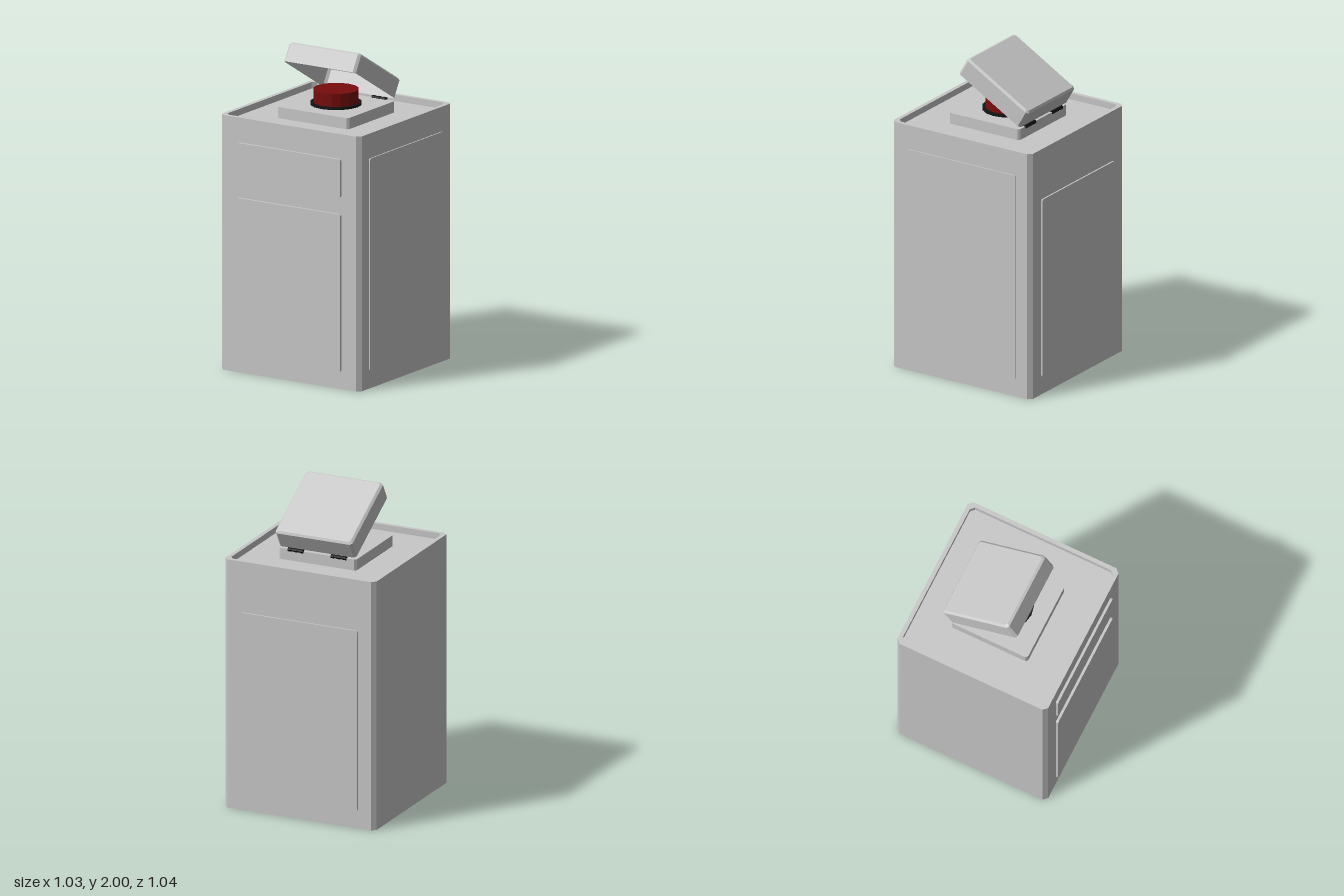
import * as THREE from 'three';

const grey = new THREE.MeshStandardMaterial({ color: 0xc8c8c8, flatShading: true, side: THREE.DoubleSide });
grey.name = 'light grey';
const red = new THREE.MeshStandardMaterial({ color: 0x780c0c, flatShading: true });
red.name = 'dark red';
const black = new THREE.MeshStandardMaterial({ color: 0x141414, flatShading: true });
black.name = 'black';

// Rectangle with cut corners at height y, counter-clockwise seen from above
function ring(hx, hz, cut, y) {
  return [
    [hx, hz - cut], [hx, -hz + cut], [hx - cut, -hz], [-hx + cut, -hz],
    [-hx, -hz + cut], [-hx, hz - cut], [-hx + cut, hz], [hx - cut, hz],
  ].map(([x, z]) => [x, y, z]);
}

// Skin a list of rings, with optional end caps
function skin(rings, capBottom, capTop) {
  const pos = [];
  const tri = (a, b, c) => pos.push(...a, ...b, ...c);
  for (let r = 0; r < rings.length - 1; r++) {
    const a = rings[r], b = rings[r + 1];
    for (let i = 0; i < a.length; i++) {
      const j = (i + 1) % a.length;
      tri(a[i], a[j], b[j]);
      tri(a[i], b[j], b[i]);
    }
  }
  const first = rings[0], last = rings[rings.length - 1];
  for (let i = 1; i < first.length - 1; i++) {
    if (capBottom) tri(first[0], first[i + 1], first[i]);
    if (capTop) tri(last[0], last[i], last[i + 1]);
  }
  const geo = new THREE.BufferGeometry();
  geo.setAttribute('position', new THREE.Float32BufferAttribute(pos, 3));
  geo.computeVertexNormals();
  return geo;
}

// Plate with rounded corners, centred in x and y, facing +z from z = 0
function plate(w, h, depth, r = 0.016) {
  const x = w / 2, y = h / 2;
  const s = new THREE.Shape();
  s.moveTo(-x + r, -y);
  s.lineTo(x - r, -y).quadraticCurveTo(x, -y, x, -y + r);
  s.lineTo(x, y - r).quadraticCurveTo(x, y, x - r, y);
  s.lineTo(-x + r, y).quadraticCurveTo(-x, y, -x, y - r);
  s.lineTo(-x, -y + r).quadraticCurveTo(-x, -y, -x + r, -y);
  return new THREE.ExtrudeGeometry(s, { depth, bevelEnabled: false, curveSegments: 3 });
}

export function createModel() {
  const model = new THREE.Group();
  model.name = 'buttonPedestal';
  const cx = -0.006, cz = -0.005;

  const add = (name, geo, mat, x, y, z, parent = model) => {
    const mesh = new THREE.Mesh(geo, mat);
    mesh.name = name;
    mesh.position.set(x, y, z);
    parent.add(mesh);
    return mesh;
  };

  // Cabinet with a raised rim around a sunken top
  add('cabinet', skin([
    ring(0.509, 0.509, 0.026, 0),
    ring(0.509, 0.509, 0.026, 1.595),
    ring(0.483, 0.483, 0.024, 1.595),
    ring(0.483, 0.483, 0.024, 1.555),
  ], true, true), grey, cx, 0, cz);

  // Raised panels on front, back and one side
  add('frontUpperPanel', plate(0.757, 0.24, 0.03), grey, cx, 1.32, 0.49);
  add('frontLowerPanel', plate(0.757, 0.985, 0.03), grey, cx, 0.6025, 0.49);
  add('backPanel', plate(0.79, 1.16, 0.03), grey, cx, 0.69, -0.494).rotation.y = Math.PI;
  add('sidePanel', plate(0.81, 1.33, 0.03), grey, 0.481, 0.775, -0.003).rotation.y = Math.PI / 2;

  // Button plinth, collar and button
  add('plinth', skin([
    ring(0.26, 0.258, 0.012, 1.55),
    ring(0.26, 0.258, 0.012, 1.625),
  ], true, true), grey, cx, 0, cz);
  add('buttonCollar', new THREE.CylinderGeometry(0.158, 0.158, 0.016, 16), black, cx, 1.632, cz);
  add('button', new THREE.CylinderGeometry(0.14, 0.14, 0.085, 16), red, cx, 1.6785, cz);

  // Hollow cover, open underneath and propped up at the front
  const cover = add('cover', skin([
    ring(0.26, 0.258, 0.015, -0.0635),
    ring(0.26, 0.258, 0.015, 0.0515),
    ring(0.246, 0.246, 0.012, 0.0635),
  ], false, true), grey, cx, 1.822, -0.073);
  cover.rotation.x = -Math.PI / 6;

  // Two hinges made of small knuckles
  for (const side of [-1, 1]) {
    const hinge = new THREE.Group();
    hinge.name = side > 0 ? 'leftHinge' : 'rightHinge';
    hinge.position.set(cx + side * 0.145, 1.626, -0.263);
    for (let i = 0; i < 5; i++) {
      const radius = i % 2 ? 0.011 : 0.014;
      add('hingeKnuckle', new THREE.CylinderGeometry(radius, radius, 0.02, 8), black,
        (i - 2) * 0.02, 0, 0, hinge).rotation.z = Math.PI / 2;
    }
    model.add(hinge);
  }

  return model;
}
